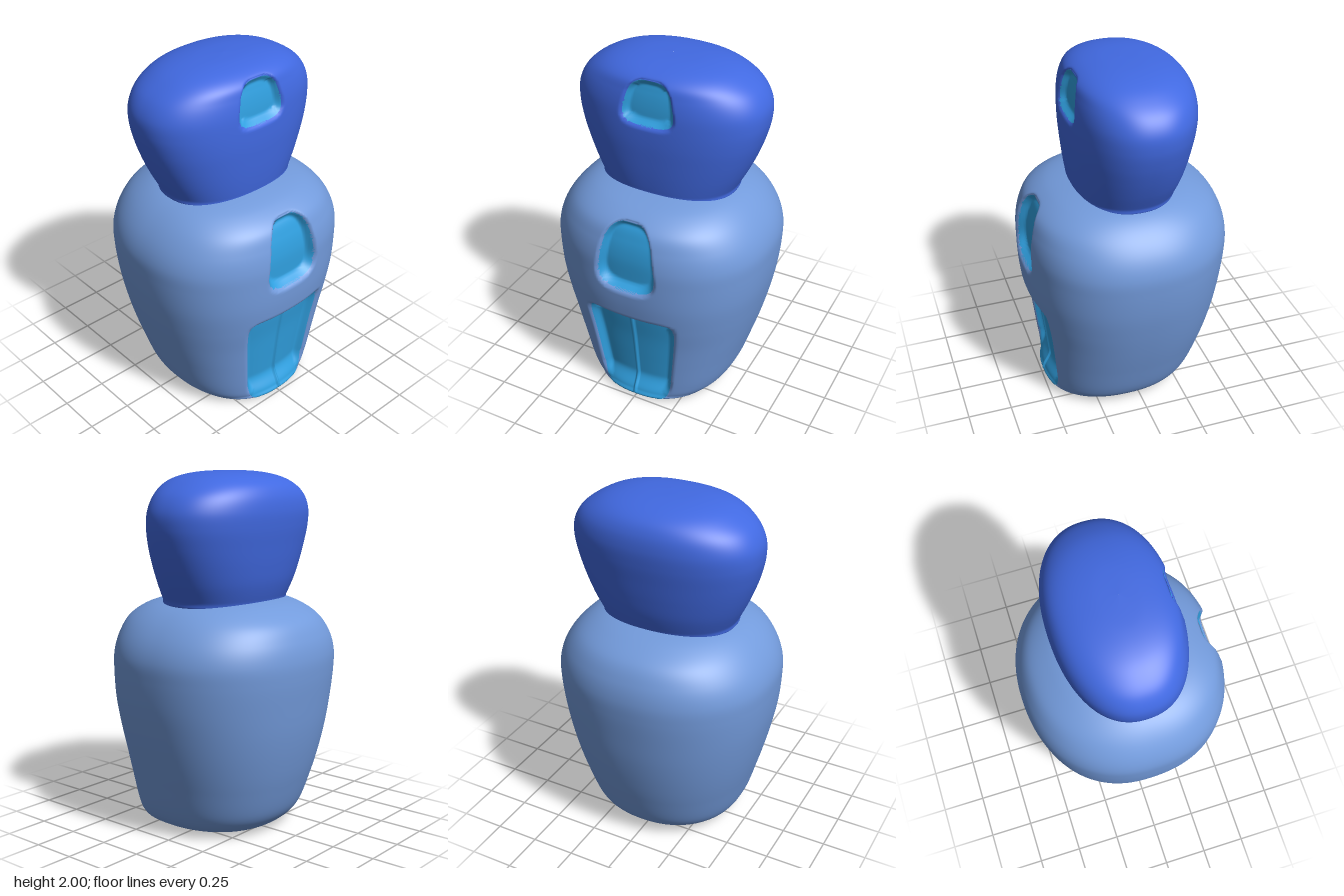
import * as THREE from 'three';

const mat = (name, color) => {
  const m = new THREE.MeshStandardMaterial({ color });
  m.name = name;
  return m;
};
const smooth = THREE.MathUtils.smoothstep;

// Recess outline: a rounded trapezoid, negative inside and zero on the rim
function recessCoords(r, x, y) {
  const qy = (y - r.y) / r.half;
  const k = THREE.MathUtils.clamp((qy + 1) / 2, 0, 1);
  const h = THREE.MathUtils.lerp(r.bottom, r.top, k);
  const qx = x / h;
  const f = Math.pow(Math.abs(qx) ** r.n + Math.abs(qy) ** r.n, 1 / r.n) - 1;
  return { qx, qy, f };
}

// Lofts keys [y, halfWidth, front, back] and presses recesses into the front
function loft(keys, rows, cols, pFront, pBack, recesses, materials) {
  const side = new THREE.SplineCurve(keys.map(k => new THREE.Vector2(k[0], k[1])));
  const depth = new THREE.SplineCurve(keys.map(k => new THREE.Vector2(k[2], k[3])));
  const pos = [];
  const inside = [];
  for (let i = 0; i <= rows; i++) {
    const a = side.getPoint(i / rows), b = depth.getPoint(i / rows);
    for (let j = 0; j < cols; j++) {
      // columns are packed more tightly across the front
      const u = (j / cols) * Math.PI * 2 - Math.PI;
      const t = u - 0.6 * Math.sin(u);
      const s = Math.sin(t), c = Math.cos(t), p = c > 0 ? pFront : pBack;
      const rad = 1 / Math.pow(Math.abs(s) ** p + Math.abs(c) ** p, 1 / p);
      const mid = (b.x - b.y) / 2 * 0.15;
      const zc = (b.x + -b.y) / 2 * 0.9 + mid * 0.1;
      let x = a.y * s * rad, y = a.x;
      let z = zc + c * rad * (c > 0 ? b.x - zc : b.y + zc);
      let mark = 1;
      if (c > 0) for (const r of recesses) {
        let { qx, qy, f } = recessCoords(r, x, y);
        if (f > 0.6) continue;
        // snap nearby vertices to the rim for a clean colour edge
        const size = Math.abs(qx) > Math.abs(qy) ? r.bottom : r.half;
        if (Math.abs(f) * size < 0.0042) {
          const g = 1 / (1 + f);
          y = r.y + qy * g * r.half;
          const k = THREE.MathUtils.clamp((qy * g + 1) / 2, 0, 1);
          x = qx * g * THREE.MathUtils.lerp(r.bottom, r.top, k);
          f = 0;
        }
        const d = f * size;
        let push = r.depth * (1 - smooth(d, -0.035, 0.018));
        if (r.door) {
          push *= smooth(y, 0.02, 0.16);
          // narrow ridge where the two leaves meet
          if (f < 0) push -= 0.012 * (1 - smooth(Math.abs(x), 0.002, 0.012)) * smooth(-d, 0, 0.03);
        }
        z -= push;
        mark = Math.min(mark, f);
      }
      pos.push(x, y, z);
      inside.push(mark);
    }
  }
  const shell = [], panel = [];
  const add = (a, b, c) =>
    (inside[a] + inside[b] + inside[c] < -1e-6 ? panel : shell).push(a, b, c);
  for (let i = 0; i < rows; i++) for (let j = 0; j < cols; j++) {
    const k = (j + 1) % cols;
    const a = i * cols + j, b = i * cols + k, c = a + cols, d = b + cols;
    add(a, b, d);
    add(a, d, c);
  }
  const geo = new THREE.BufferGeometry();
  geo.setAttribute('position', new THREE.Float32BufferAttribute(pos, 3));
  geo.setIndex([...shell, ...panel]);
  geo.addGroup(0, shell.length, 0);
  geo.addGroup(shell.length, panel.length, 1);
  geo.computeVertexNormals();
  return new THREE.Mesh(geo, materials);
}

export function createModel() {
  const bodyBlue = mat('softBlue', 0x739bdc);
  const headBlue = mat('royalBlue', 0x4169e1);
  const glassBlue = mat('skyBlue', 0x30a0e0);
  const group = new THREE.Group();
  group.name = 'towerHouse';

  // Rounded lower storey with double door and window
  const body = loft([
    [0, 0.001, 0.001, 0.001],
    [0.004, 0.2, 0.26, 0.15],
    [0.014, 0.33, 0.47, 0.27],
    [0.05, 0.40, 0.488, 0.345],
    [0.13, 0.45, 0.497, 0.41],
    [0.3, 0.503, 0.515, 0.47],
    [0.45, 0.545, 0.532, 0.51],
    [0.6, 0.58, 0.556, 0.54],
    [0.75, 0.607, 0.574, 0.56],
    [0.9, 0.62, 0.578, 0.575],
    [1.01, 0.617, 0.575, 0.575],
    [1.11, 0.58, 0.555, 0.55],
    [1.2, 0.51, 0.515, 0.495],
    [1.265, 0.42, 0.42, 0.39],
    [1.3, 0.31, 0.3, 0.28],
    [1.31, 0.18, 0.2, 0.17],
    [1.31, 0.001, 0.001, 0.001],
  ], 190, 200, 2.4, 2.2, [
    { y: 0.33, half: 0.312, bottom: 0.2, top: 0.272, n: 9, depth: 0.06, door: true },
    { y: 1.03, half: 0.195, bottom: 0.19, top: 0.125, n: 3.4, depth: 0.06 },
  ], [bodyBlue, glassBlue]);
  body.name = 'bodyWithDoorAndWindow';

  // Flared upper storey with one small window
  const head = loft([
    [1.26, 0.001, 0.001, 0.001],
    [1.26, 0.25, 0.18, 0.18],
    [1.27, 0.375, 0.275, 0.265],
    [1.31, 0.395, 0.285, 0.285],
    [1.4, 0.44, 0.296, 0.315],
    [1.5, 0.482, 0.304, 0.336],
    [1.6, 0.515, 0.309, 0.352],
    [1.7, 0.535, 0.308, 0.366],
    [1.79, 0.53, 0.302, 0.37],
    [1.87, 0.485, 0.287, 0.355],
    [1.93, 0.405, 0.265, 0.315],
    [1.97, 0.31, 0.205, 0.24],
    [1.993, 0.18, 0.11, 0.13],
    [2, 0.001, 0.001, 0.001],
  ], 130, 180, 2.35, 2.2, [
    { y: 1.822, half: 0.117, bottom: 0.165, top: 0.11, n: 3.4, depth: 0.045 },
  ], [headBlue, glassBlue]);
  head.name = 'headWithWindow';

  group.add(body, head);
  return group;
}
